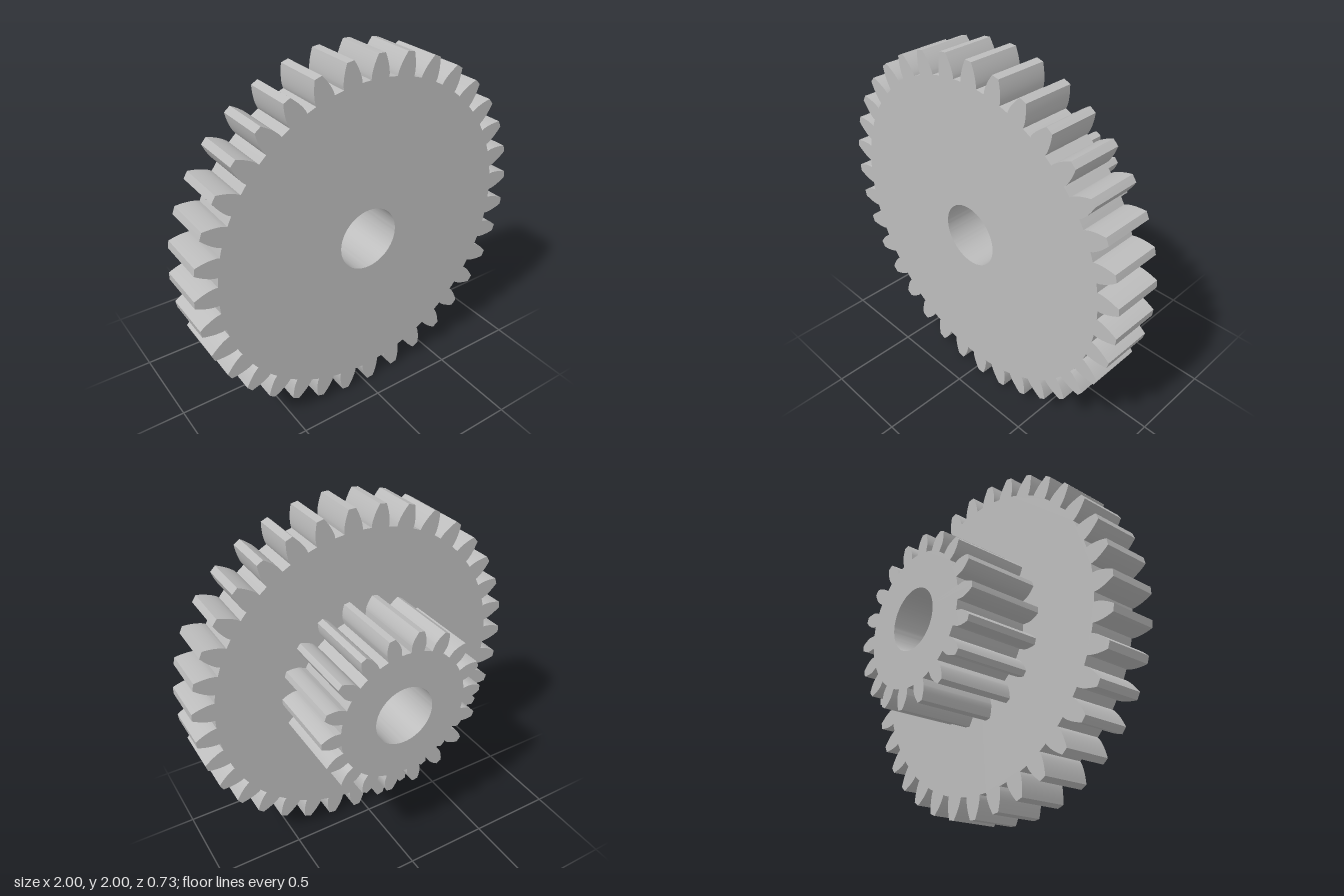
import * as THREE from 'three';
import { toCreasedNormals } from 'three/addons/utils/BufferGeometryUtils.js';

const PRESSURE = THREE.MathUtils.degToRad(20);
const BORE = 0.177;
const inv = (a) => Math.tan(a) - a;

// Outline of an involute spur gear with a tooth centred on angle pi
function gearShape(teeth, tipR) {
  const m = (2 * tipR) / (teeth + 2);
  const pitchR = (m * teeth) / 2;
  const baseR = pitchR * Math.cos(PRESSURE);
  const rootR = tipR - 2.25 * m;
  const halfAngle = (r) =>
    Math.PI / (2 * teeth) + inv(PRESSURE) - inv(Math.acos(Math.min(1, baseR / r)));

  // One flank from root to tip as [radius, half angle]
  const flank = [[rootR, halfAngle(baseR)]];
  const steps = 8;
  for (let i = 0; i <= steps; i++) {
    const r = baseR + (tipR - baseR) * (i / steps) ** 1.5;
    flank.push([r, halfAngle(r)]);
  }

  const pts = [];
  const add = (r, a) => pts.push(new THREE.Vector2(r * Math.cos(a), r * Math.sin(a)));
  for (let t = 0; t < teeth; t++) {
    const c = Math.PI + (t * 2 * Math.PI) / teeth;
    flank.forEach(([r, h]) => add(r, c - h));
    add(tipR, c);
    [...flank].reverse().forEach(([r, h]) => add(r, c + h));
    add(rootR, c + Math.PI / teeth); // middle of the valley
  }
  const shape = new THREE.Shape(pts);
  shape.holes.push(new THREE.Path().absarc(0, 0, BORE, 0, Math.PI * 2, true));
  return shape;
}

function gear(name, teeth, tipR, zBack, zFront, material) {
  const geo = new THREE.ExtrudeGeometry(gearShape(teeth, tipR), {
    depth: zFront - zBack, bevelEnabled: false, curveSegments: 64,
  });
  const mesh = new THREE.Mesh(toCreasedNormals(geo, 0.45), material);
  mesh.name = name;
  mesh.position.set(0, 1, zBack);
  return mesh;
}

export function createModel() {
  const steel = new THREE.MeshStandardMaterial({ color: 0xbcbcbc });
  steel.name = 'grey';

  const group = new THREE.Group();
  group.name = 'doubleGear';
  group.add(gear('largeGear', 35, 1.0, 0.08, 0.365, steel));
  group.add(gear('smallGear', 18, 0.497, -0.365, 0.08, steel));
  return group;
}
